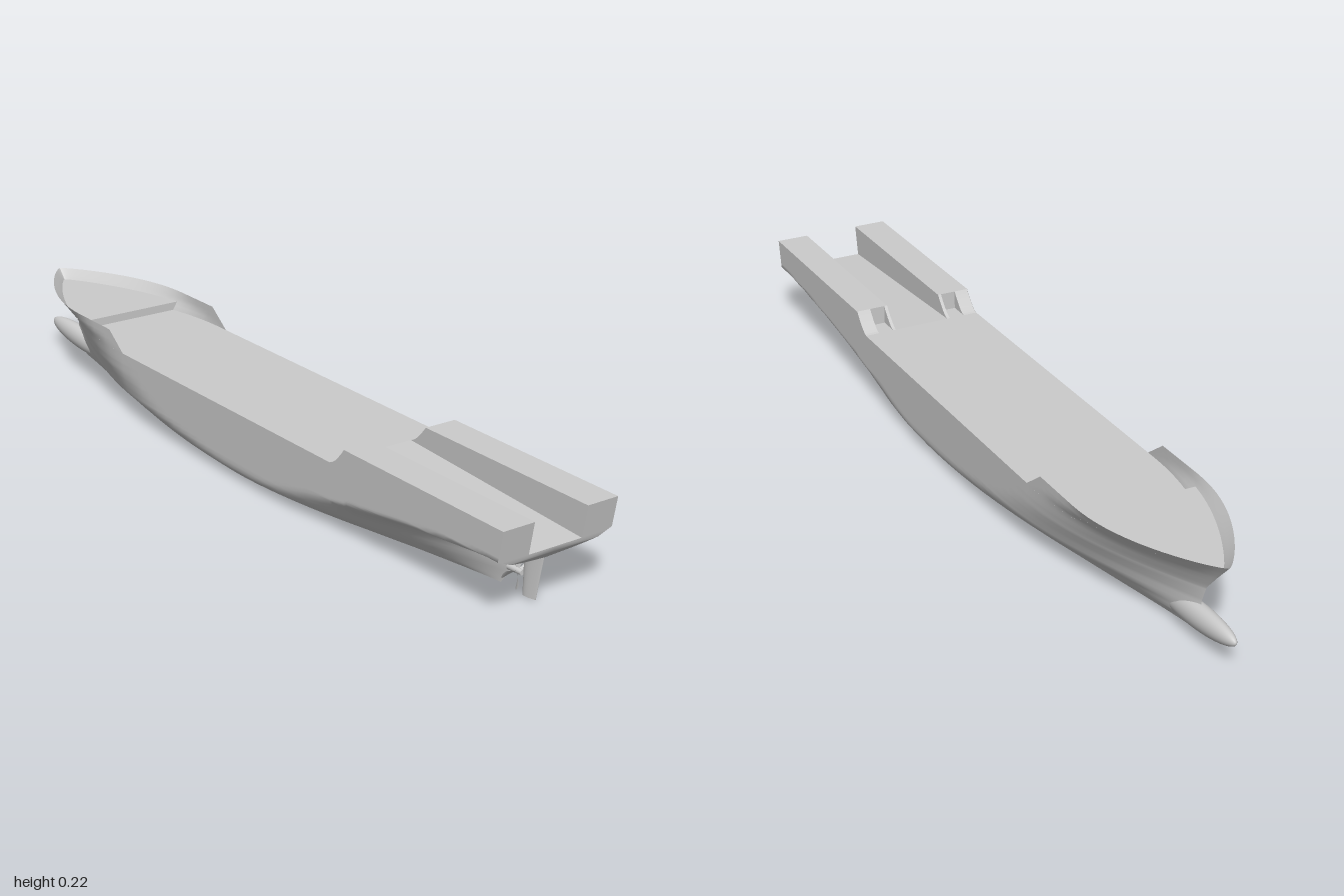
import * as THREE from 'three';

const material = new THREE.MeshStandardMaterial({ color: 0xcccccc, side: THREE.DoubleSide });
const mix = THREE.MathUtils.lerp;

// Linear interpolation in a short table of [input, value] pairs
function table(pairs, v) {
  if (v <= pairs[0][0]) return pairs[0][1];
  for (let i = 1; i < pairs.length; i++) {
    const [a, p] = pairs[i - 1], [b, q] = pairs[i];
    if (v <= b) return mix(p, q, (v - a) / (b - a));
  }
  return pairs[pairs.length - 1][1];
}

// Hull lines, each as a function of height y
const sternZ = y => table([[0, 0.83], [0.04, 0.86], [0.085, 0.87], [0.1, 0.9], [0.106, 0.96], [0.13, 0.985], [0.215, 1]], y);
const bowZ = y => table([[0, -0.75], [0.01, -0.83], [0.03, -0.87], [0.09, -0.87], [0.13, -0.885], [0.17, -0.92], [0.215, -0.962]], y);
const runZ = y => table([[0, 0], [0.03, 0.15], [0.07, 0.35], [0.12, 0.65], [0.145, 0.9], [0.215, 0.9]], y);
const entryZ = y => table([[0, 0.15], [0.03, 0.05], [0.06, -0.2], [0.12, -0.35], [0.17, -0.43], [0.215, -0.6]], y);
const beam = y => table([[0, 0.105], [0.004, 0.12], [0.01, 0.132], [0.02, 0.143], [0.03, 0.149], [0.04, 0.151]], y);
const transomPart = y => table([[0.106, 0], [0.115, 0.42], [0.125, 0.7], [0.145, 1]], y);

// Half-breadth of the hull at height y and station z
function half(y, z) {
  const ease = (t, p) => Math.pow(Math.sin(Math.PI / 2 * THREE.MathUtils.clamp(t, 0, 1)), p);
  const entry = ease((z - bowZ(y)) / (entryZ(y) - bowZ(y)), mix(1.15, 0.8, y / 0.215));
  const run = ease((sternZ(y) - z) / (sternZ(y) - runZ(y)), 1.2);
  return beam(y) * entry * mix(transomPart(y), 1, run);
}

// Top edge of the side: high at both ends, low amidships
function sheer(z) {
  if (z > 0.44) return 0.17 + 0.045 * Math.pow(Math.min(1, (z - 0.44) / 0.05), 1.5);
  return table([[-0.46, 0.215], [-0.4, 0.17]], z);
}

// Surface from a grid of points
function grid(name, us, vs, point) {
  const positions = [], index = [], n = vs.length;
  us.forEach(u => vs.forEach(v => positions.push(...point(u, v))));
  for (let i = 0; i < us.length - 1; i++) for (let j = 0; j < n - 1; j++) {
    const a = i * n + j, b = a + n;
    index.push(a, b, a + 1, b, b + 1, a + 1);
  }
  const g = new THREE.BufferGeometry();
  g.setAttribute('position', new THREE.Float32BufferAttribute(positions, 3));
  g.setIndex(index);
  g.computeVertexNormals();
  return named(name, g);
}

function named(name, geometry) {
  const m = new THREE.Mesh(geometry, material);
  m.name = name;
  return m;
}

const steps = (a, b, n) => Array.from({ length: n + 1 }, (_, i) => mix(a, b, i / n));

// Stations: fixed z amidships, stretched to the stern and stem at the ends
const stations = [
  ...steps(0, 1, 20).map(t => y => mix(sternZ(y), 0.6, t * t)),
  ...[0.55, 0.5, 0.49, 0.48, 0.47, 0.46, 0.45, 0.44, 0.4, ...steps(0.35, -0.35, 20), -0.4, -0.43, -0.46, -0.48].map(z => () => z),
  ...steps(0, 1, 26).map(t => y => mix(-0.5, bowZ(y), 1 - (1 - t) * (1 - t))),
];

function halfHull() {
  const side = new THREE.Group();
  side.name = 'hullHalf';
  const rows = [0, 0.002, 0.004, 0.007, 0.01, 0.015, 0.02, 0.025, 0.03, 0.04, 0.05, 0.06, 0.07, 0.08, 0.085, 0.09,
    0.095, 0.1, 0.103, 0.106, 0.11, 0.115, 0.12, 0.125, 0.13, 0.14, 0.145, 0.155, 0.17, 0.18, 0.19, 0.2, 0.215];
  side.add(grid('shell', stations, rows, (s, r) => {
    const z = s(r);
    const y = r <= 0.17 ? r : mix(0.17, sheer(z), (r - 0.17) / 0.045);
    return [half(y, z), y, z];
  }));
  side.add(grid('flatBottom', stations, [0, 1], (s, k) => [k * half(0, s(0)), 0, s(0)]));

  // Transom, open above the ramp
  const low = [0.106, 0.11, 0.115, 0.12, 0.125, 0.13, 0.14], high = [0.14, 0.145, 0.17, 0.215];
  side.add(grid('lowerTransom', low, [0, 1], (y, k) => [k * half(y, sternZ(y)), y, sternZ(y)]));
  side.add(grid('upperTransom', high, [0, 1], (y, k) => [mix(0.07, half(y, sternZ(y)), k), y, sternZ(y)]));

  // Decks
  const deck = (name, y, zs, inner) => side.add(grid(name, zs, [0, 1], (z, k) => [mix(inner, half(y, z), k), y, z]));
  deck('mainDeck', 0.17, [0.44, ...steps(0.4, -0.4, 4), ...steps(-0.43, -0.61, 8)], 0);
  deck('deckUnderRecess', 0.17, [0.49, 0.44], 0.07);
  deck('foredeck', 0.19, steps(0, 1, 24).map(t => mix(-0.61, bowZ(0.19), 1 - (1 - t) ** 2)), 0);
  deck('sternBlockTop', 0.215, steps(1, 0.49, 8), 0.07);
  side.add(grid('foredeckStep', [0.17, 0.19], [0, 1], (y, k) => [k * half(y, -0.61), y, -0.61]));

  // Ramp between the stern blocks, and the block walls
  const rampY = z => mix(0.17, 0.14, (z - 0.44) / (sternZ(0.14) - 0.44));
  side.add(grid('ramp', [0.44, sternZ(0.14)], [0, 0.07], (z, x) => [x, rampY(z), z]));
  side.add(grid('blockInnerWall', [0, 1], [0, 1], (u, v) => {
    const y = v ? 0.215 : u ? 0.14 : rampY(0.49);
    return [0.07, y, u ? sternZ(y) : 0.49];
  }));
  side.add(grid('blockFrontWall', [0.07, 0.15], [0.165, 0.215], (x, y) => [x, y, 0.49]));

  // Curved brackets ahead of each block
  const curve = steps(0.44, 0.49, 8).map(z => new THREE.Vector2(-z, sheer(z)));
  const profile = new THREE.Shape([...curve, new THREE.Vector2(-0.49, 0.165), new THREE.Vector2(-0.44, 0.165)]);
  for (const [x0, x1] of [[0.07, 0.078], [0.116, 0.1505]]) {
    const g = new THREE.ExtrudeGeometry(profile, { depth: x1 - x0, bevelEnabled: false });
    g.rotateY(Math.PI / 2).translate(x0, 0, 0);
    side.add(named('bracket', g));
  }
  return side;
}

// Propeller: hub, shaft and four twisted blades
function propeller() {
  const p = new THREE.Group();
  p.name = 'propeller';
  const hub = named('hub', new THREE.CylinderGeometry(0.006, 0.008, 0.04, 20).rotateX(Math.PI / 2));
  hub.position.z = -0.006;
  p.add(hub);
  for (let i = 0; i < 4; i++) {
    const blade = grid('blade', steps(0, 1, 10), steps(-1, 1, 6), (t, s) => {
      const w = 0.004 + 0.011 * Math.sqrt(Math.max(0, Math.sin(Math.PI * Math.pow(t, 1.4)))) * t;
      const a = mix(1.0, 0.45, t), width = (t === 1 ? 0.003 : w) * s;
      return [width * Math.cos(a), mix(0.004, 0.042, t), width * Math.sin(a)];
    });
    blade.rotation.z = i * Math.PI / 2;
    p.add(blade);
  }
  p.position.set(0, 0.046, 0.88);
  return p;
}

export function createModel() {
  const ship = new THREE.Group();
  ship.name = 'ship';
  const left = halfHull(), right = halfHull();
  right.scale.x = -1;
  ship.add(left, right);

  // Bulbous bow
  const bulb = named('bulbousBow', new THREE.SphereGeometry(1, 32, 24).rotateX(Math.PI / 2));
  bulb.scale.set(0.024, 0.03, 0.15);
  bulb.rotation.x = 0.08;
  bulb.position.set(0, 0.05, -0.85);
  ship.add(bulb);

  // Rudder: a streamlined section, tapered towards the foot
  ship.add(grid('rudder', [0.002, 0.03, 0.07, 0.108], steps(0, Math.PI * 2, 24), (y, a) => {
    const front = 0.899, back = mix(0.937, 0.957, y / 0.108), c = (1 - Math.cos(a)) / 2;
    return [0.009 * Math.sin(a) * (1 - 0.6 * c), y, mix(front, back, c)];
  }));
  const foot = named('rudderFoot', new THREE.CircleGeometry(1, 24).rotateX(Math.PI / 2));
  foot.scale.set(0.006, 1, 0.019);
  foot.position.set(0, 0.002, 0.918);
  ship.add(foot, propeller());
  return ship;
}
